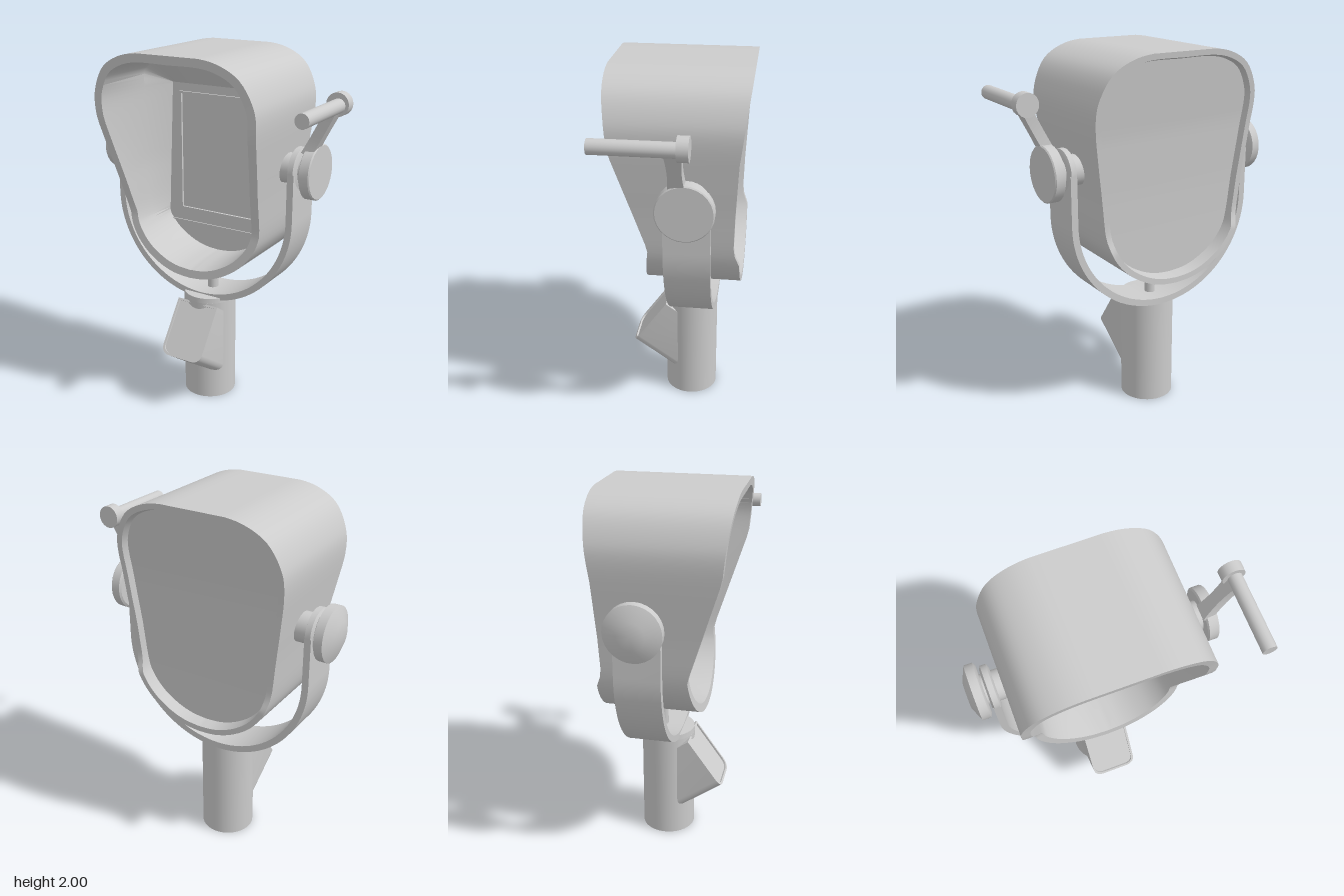
import * as THREE from 'three';
import { toCreasedNormals } from 'three/addons/utils/BufferGeometryUtils.js';

const CX = -0.06; // centre line of hood and post
const AXIS_Y = 1.412, AXIS_Z = -0.066; // tilt axis of the hood
const grey = new THREE.MeshStandardMaterial({ color: 0xcccccc });
const greyDouble = new THREE.MeshStandardMaterial({ color: 0xcccccc, side: THREE.DoubleSide });

function add(parent, name, geometry, x = 0, y = 0, z = 0, material = grey) {
  const mesh = new THREE.Mesh(geometry, material);
  mesh.name = name;
  mesh.position.set(x, y, z);
  parent.add(mesh);
  return mesh;
}

// Solid of revolution around the x axis, profile given as [x, radius]
function turnedX(profile) {
  const pts = profile.map(([x, r]) => new THREE.Vector2(r, -x));
  const geo = new THREE.LatheGeometry(pts.reverse(), 28);
  geo.rotateZ(Math.PI / 2);
  return toCreasedNormals(geo, 0.5);
}

// Linear interpolation in a table of [y, z]
function lookup(table, y) {
  if (y <= table[0][0]) return table[0][1];
  for (let i = 1; i < table.length; i++) {
    const [y0, z0] = table[i - 1], [y1, z1] = table[i];
    if (y <= y1) return z0 + (z1 - z0) * (y - y0) / (y1 - y0);
  }
  return table[table.length - 1][1];
}
const frontZ = y => lookup([[0.78, 0.19], [1.09, 0.15], [1.64, 0.325], [1.8, 0.34], [2, 0.365]], y);
const backZ = y => lookup([[0.78, -0.325], [1.02, -0.32], [1.1, -0.29], [1.3, -0.295], [1.6, -0.31], [2, -0.36]], y);

// Closed hood outline, counter-clockwise from the bottom, inset by d
function hoodOutline(d) {
  const half = new THREE.SplineCurve([
    [0, 0.78], [0.1, 0.79], [0.2, 0.825], [0.3, 0.89], [0.375, 0.98], [0.41, 1.08], [0.435, 1.3],
    [0.46, 1.5], [0.48, 1.7], [0.462, 1.81], [0.4, 1.915], [0.3, 1.975], [0.18, 2], [0, 2],
  ].map(p => new THREE.Vector2(...p)));
  const right = [];
  for (let i = 0; i <= 52; i++) {
    const p = half.getPoint(i / 52), t = half.getTangent(i / 52);
    const end = i === 0 || i === 52;
    right.push([end ? 0 : Math.max(0, p.x - t.y * d), p.y + t.x * d]);
  }
  return right.concat(right.slice().reverse().map(([x, y]) => [-x, y]));
}

// Hood shell, inner funnel and back plate as one loft
function hoodGeometry() {
  const ring = (d, z, maxY = 2, halfWidth = () => 1) => hoodOutline(d).map(([x, y]) => {
    y = Math.min(y, maxY);
    const w = halfWidth(y);
    return [CX + THREE.MathUtils.clamp(x, -w, w), y, z(y)];
  });
  const rings = [
    ring(0.06, () => -0.12, 1.78, y => 0.33 - 0.045 * (y - 0.98)),
    ring(0.058, () => 0.03, 2, () => 0.38),
    ring(0.045, frontZ),
    ring(0, frontZ),
    ring(0, y => (frontZ(y) + backZ(y)) / 2),
    ring(0, backZ),
    ring(0.03, backZ),
    ring(0.04, y => backZ(Math.max(y, 1.1)) + 0.035),
  ];
  const n = rings[0].length, index = [];
  for (let j = 0; j < rings.length - 1; j++) {
    for (let i = 0; i < n; i++) {
      const k = (i + 1) % n;
      const a = j * n + i, b = j * n + k, c = b + n, d = a + n;
      index.push(a, d, c, a, c, b);
    }
  }
  const last = (rings.length - 1) * n;
  for (let i = 0; i < n / 2 - 1; i++) {
    const p = i, q = i + 1, r = n - 2 - i, s = n - 1 - i;
    index.push(p, q, r, p, r, s);
    index.push(last + p, last + r, last + q, last + p, last + s, last + r);
  }
  const geo = new THREE.BufferGeometry();
  geo.setAttribute('position', new THREE.Float32BufferAttribute(rings.flat(2), 3));
  geo.setIndex(index);
  return toCreasedNormals(geo, 0.45);
}

// U-shaped strap
function yokeGeometry() {
  const shape = new THREE.Shape();
  const cx = -0.067, cy = 1.15, r = 0.553, t = 0.036;
  shape.moveTo(cx - r, AXIS_Y);
  shape.lineTo(cx - r, cy);
  shape.absellipse(cx, cy, r, 0.55, Math.PI, 2 * Math.PI, false);
  shape.lineTo(cx + r, AXIS_Y);
  shape.lineTo(cx + r - t, AXIS_Y);
  shape.lineTo(cx + r - t, cy);
  shape.absellipse(cx, cy, r - t, 0.55 - t, 0, Math.PI, true);
  shape.lineTo(cx - r + t, AXIS_Y);
  const geo = new THREE.ExtrudeGeometry(shape, { depth: 0.236, bevelEnabled: false, curveSegments: 36 });
  geo.translate(0, 0, AXIS_Z - 0.118);
  return toCreasedNormals(geo, 0.5);
}

// Plate with rounded lower corners
function switchShape(w, bottom, top, r, Type = THREE.Shape) {
  const s = new Type();
  s.moveTo(-w, top);
  s.lineTo(-w, bottom + r);
  s.quadraticCurveTo(-w, bottom, -w + r, bottom);
  s.lineTo(w - r, bottom);
  s.quadraticCurveTo(w, bottom, w, bottom + r);
  s.lineTo(w, top);
  s.closePath();
  return s;
}

export function createModel() {
  const model = new THREE.Group();
  model.name = 'searchlight';

  add(model, 'hood', hoodGeometry(), 0, 0, 0, greyDouble);

  // Raised frame around the lens
  const frame = new THREE.Shape();
  frame.moveTo(-0.305, 1.055).lineTo(0.205, 1.055).lineTo(0.205, 1.735).lineTo(-0.305, 1.735).closePath();
  const opening = new THREE.Path();
  opening.moveTo(-0.293, 1.067).lineTo(-0.293, 1.723).lineTo(0.193, 1.723).lineTo(0.193, 1.067).closePath();
  frame.holes.push(opening);
  add(model, 'lensFrame', new THREE.ExtrudeGeometry(frame, { depth: 0.012, bevelEnabled: false }), 0, 0, -0.12);
  add(model, 'lensSill', new THREE.BoxGeometry(0.64, 0.008, 0.01), CX, 0.98, -0.118);

  // Yoke with round ends and pivots
  add(model, 'yoke', yokeGeometry());
  const turned = (name, profile) => add(model, name, turnedX(profile), 0, AXIS_Y, AXIS_Z);
  turned('rightYokeEnd', [[-0.625, 0], [-0.625, 0.1], [-0.615, 0.118], [-0.585, 0.118], [-0.575, 0.095], [-0.575, 0]]);
  turned('leftYokeEnd', [[0.44, 0], [0.44, 0.095], [0.45, 0.118], [0.48, 0.118], [0.488, 0.1], [0.488, 0]]);
  turned('rightPivot', [[-0.65, 0], [-0.65, 0.08], [-0.45, 0.08], [-0.45, 0]]);
  turned('leftPivot', [[0.35, 0], [0.35, 0.08], [0.53, 0.08], [0.53, 0]]);
  turned('tiltKnob', [[-0.725, 0], [-0.722, 0.07], [-0.69, 0.145], [-0.645, 0.145], [-0.635, 0.125], [-0.635, 0]]);
  turned('crankDisc', [[0.52, 0], [0.52, 0.135], [0.527, 0.146], [0.576, 0.146], [0.582, 0.14], [0.582, 0]]);

  // Crank arm, pinched in the middle, and grip
  const crank = new THREE.Group();
  crank.name = 'crank';
  model.add(crank);
  const armGeo = new THREE.BoxGeometry(0.055, 0.29, 0.085, 1, 6, 1);
  const pos = armGeo.attributes.position;
  for (let i = 0; i < pos.count; i++) {
    const v = pos.getY(i) / 0.145;
    pos.setZ(i, pos.getZ(i) * (0.8 + 0.25 * v * v));
  }
  armGeo.computeVertexNormals();
  const arm = add(crank, 'crankArm', armGeo, 0.597, 1.64, -0.028);
  arm.rotation.z = -0.48;
  const grip = add(crank, 'crankGrip', new THREE.CylinderGeometry(0.037, 0.037, 0.42, 20), 0.665, 1.765, 0.148);
  grip.rotation.x = Math.PI / 2;
  const gripCap = add(crank, 'crankGripCap', new THREE.CylinderGeometry(0.06, 0.06, 0.056, 20), 0.66, 1.77, -0.075);
  gripCap.rotation.x = Math.PI / 2;

  // Post, collar and stem
  add(model, 'post', new THREE.CylinderGeometry(0.148, 0.148, 0.6, 36), -0.062, 0.3, -0.034);
  add(model, 'collar', new THREE.CylinderGeometry(0.146, 0.148, 0.03, 36), -0.062, 0.613, -0.034);
  add(model, 'stem', new THREE.CylinderGeometry(0.03, 0.03, 0.24, 16), CX, 0.71, -0.065);

  // Slanted switch housing, its back running deeper into the post towards the bottom
  const housing = new THREE.Group();
  housing.name = 'switchHousing';
  housing.position.set(CX, 0.32, 0.285);
  housing.rotation.x = -0.62;
  model.add(housing);
  const body = new THREE.ExtrudeGeometry(switchShape(0.129, 0, 0.33, 0.06), { depth: 0.22, bevelEnabled: false });
  body.translate(0, 0, -0.22);
  const bodyPos = body.attributes.position;
  for (let i = 0; i < bodyPos.count; i++) {
    if (bodyPos.getZ(i) < -0.1) bodyPos.setZ(i, -0.31 + 0.27 * bodyPos.getY(i));
  }
  add(housing, 'housingBody', toCreasedNormals(body, 0.6));
  const rim = switchShape(0.129, 0, 0.33, 0.06);
  rim.holes.push(switchShape(0.117, 0.013, 0.318, 0.05, THREE.Path));
  add(housing, 'housingRim', toCreasedNormals(new THREE.ExtrudeGeometry(rim, { depth: 0.01, bevelEnabled: false }), 0.6));

  return model;
}
